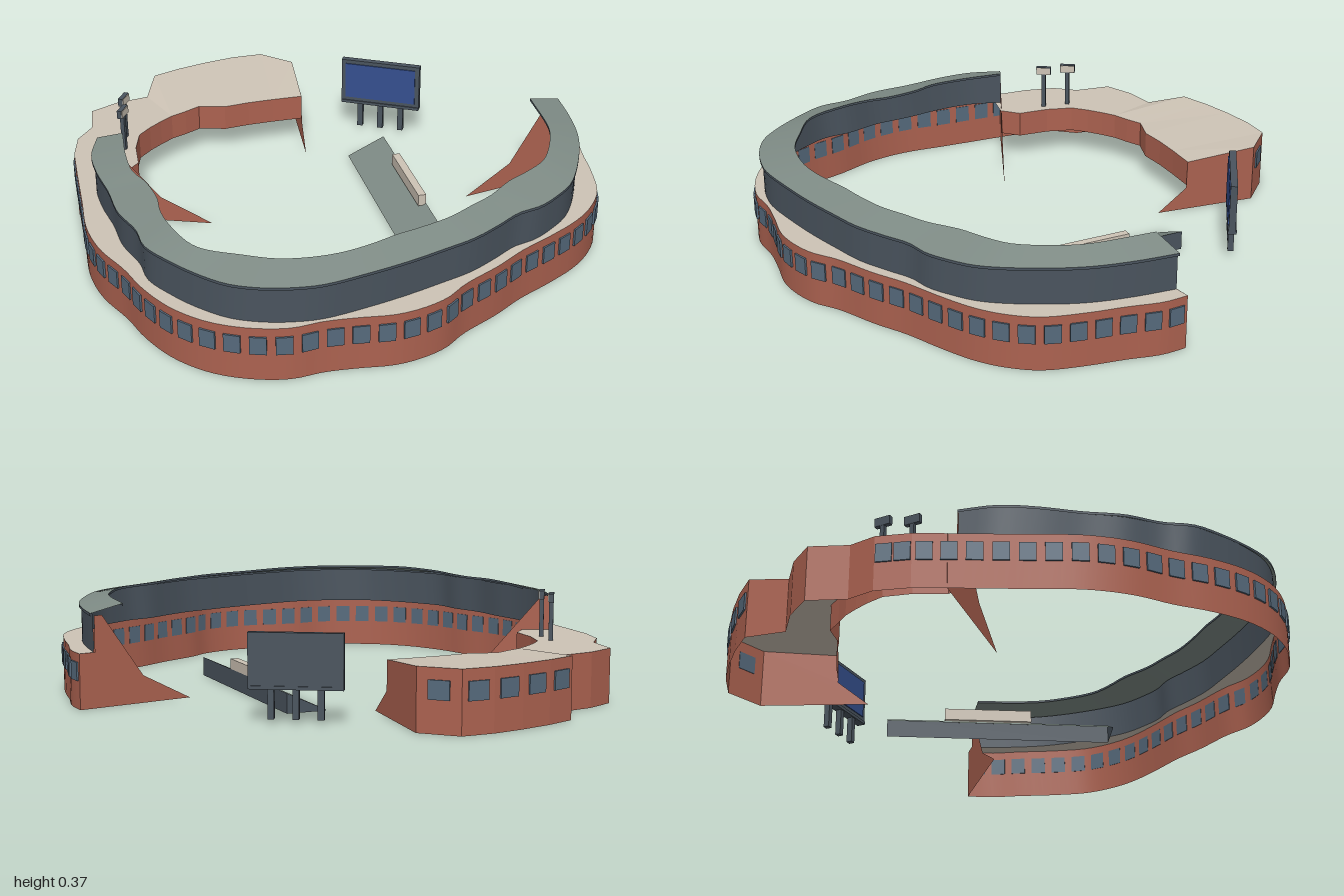
import * as THREE from 'three';

const mat = (name, color) => {
  const m = new THREE.MeshStandardMaterial({ color, side: THREE.DoubleSide });
  m.name = name;
  return m;
};

export function createModel() {
  const brick = mat('brick', 0xac6250);
  const stone = mat('stone', 0xcdc3b5);
  const roofing = mat('roofing', 0x7f8c86);
  const slate = mat('slate', 0x4a545e);
  const glass = mat('glass', 0x566a7c);
  const screenBlue = mat('screen blue', 0x35508f);

  const model = new THREE.Group();
  model.name = 'stadium';

  const add = (name, geo, material, parent = model) => {
    const mesh = new THREE.Mesh(geo, material);
    mesh.name = name;
    parent.add(mesh);
    return mesh;
  };
  const box = (name, size, pos, material, parent) => {
    const mesh = add(name, new THREE.BoxGeometry(...size), material, parent);
    mesh.position.set(...pos);
    return mesh;
  };
  // Ribbon between two rows of points
  const strip = (a, b, faceted = false) => {
    const pos = [], idx = [];
    a.forEach((p, i) => {
      pos.push(p.x, p.y, p.z, b[i].x, b[i].y, b[i].z);
      if (i) {
        const k = 2 * i;
        idx.push(k - 2, k, k - 1, k, k + 1, k - 1);
      }
    });
    let g = new THREE.BufferGeometry();
    g.setAttribute('position', new THREE.Float32BufferAttribute(pos, 3));
    g.setIndex(idx);
    if (faceted) g = g.toNonIndexed();
    g.computeVertexNormals();
    return g;
  };
  const points = (xz) => xz.map(([x, z]) => new THREE.Vector3(x, 0, z));
  const atY = (row, y) => row.map((p) => new THREE.Vector3(p.x, y, p.z));
  const curveOf = (xz) => new THREE.CatmullRomCurve3(points(xz), false, 'centripetal');
  const N = 96;

  // Plan outlines of the bowl, from the right end around the front to the left end
  const outerCurve = curveOf([
    [.95, -.07], [.955, .02], [.93, .15], [.91, .28], [.87, .43], [.8, .53], [.72, .6], [.6, .67],
    [.46, .74], [.35, .81], [.2, .89], [.12, .95], [.03, .985], [-.07, 1], [-.2, .985], [-.31, .977],
    [-.42, .985], [-.55, .95], [-.67, .88], [-.77, .77], [-.84, .63], [-.88, .5], [-.94, .35],
    [-.965, .2], [-.955, 0], [-.945, -.2]]);
  const outer = outerCurve.getSpacedPoints(N);
  const roofOuter = curveOf([
    [.905, -.06], [.89, .1], [.86, .25], [.8, .4], [.7, .57], [.62, .64], [.54, .69], [.45, .715],
    [.36, .77], [.25, .83], [.13, .87], [0, .91], [-.15, .945], [-.31, .972], [-.4, .965],
    [-.5, .94], [-.6, .89], [-.68, .81], [-.76, .7], [-.82, .59], [-.83, .48], [-.87, .35],
    [-.88, .2], [-.9, .05], [-.9, -.08], [-.86, -.21]]).getSpacedPoints(N);
  const roofInner = curveOf([
    [.78, -.04], [.76, .2], [.73, .29], [.65, .43], [.57, .49], [.48, .54], [.38, .62], [.29, .67],
    [.2, .72], [.08, .76], [0, .78], [-.1, .815], [-.2, .84], [-.3, .845], [-.42, .825], [-.53, .77],
    [-.66, .685], [-.72, .53], [-.735, .42], [-.73, .34], [-.75, .21], [-.78, .13], [-.785, 0],
    [-.77, -.17]]).getSpacedPoints(N);
  const upper = roofOuter.map((p, i) => p.clone().lerp(roofInner[i], .08));

  // Bowl: brick wall, walkway ledge, upper wall and sloping roof
  add('outerWall', strip(atY(outer, 0), atY(outer, .2)), brick);
  add('walkway', strip(atY(outer, .2), atY(upper, .2)), stone);
  add('upperWall', strip(atY(upper, .2), atY(upper, .334)), slate);
  add('roof', strip(atY(roofOuter, .338), atY(roofInner, .365)), roofing);
  add('roofOuterEdge', strip(atY(roofOuter, .328), atY(roofOuter, .338)), slate);
  add('roofInnerEdge', strip(atY(roofInner, .356), atY(roofInner, .365)), slate);

  // Low building that closes the back
  const backOuter = points([
    [-.945, -.2], [-.935, -.36], [-.905, -.48], [-.84, -.56], [-.82, -.7], [-.71, -.75], [-.585, -.77],
    [-.53, -.91], [-.42, -.95], [-.3, -.98], [-.18, -1], [-.06, -1], [.05, -.89]]);
  const backInner = points([
    [-.77, -.17], [-.71, -.23], [-.7, -.35], [-.67, -.45], [-.62, -.5], [-.57, -.54], [-.52, -.575],
    [-.46, -.6], [-.4, -.63], [-.3, -.6], [-.2, -.61], [-.1, -.612], [.02, -.61]]);
  const backTop = backOuter.map((p, i) => new THREE.Vector3(p.x, i < 7 ? .2 : .222, p.z));
  add('backWall', strip(backOuter, backTop, true), brick);
  add('backTerrace', strip(backTop, atY(backInner, .2), true), stone);
  add('backInnerWall', strip(atY(backInner, .1), atY(backInner, .2), true), brick);

  // End walls: profile of distance inward and height, from a start point towards a target
  const endWall = (name, [x, z], [tx, tz], profile) => {
    const shape = new THREE.Shape(profile.map(([s, y]) => new THREE.Vector2(s, y)));
    const mesh = add(name, new THREE.ShapeGeometry(shape), brick);
    mesh.position.set(x, 0, z);
    mesh.rotation.y = Math.atan2(-(tz - z), tx - x);
  };
  endWall('leftEndWall', [.95, -.07], [.52, .01],
    [[0, 0], [0, .2], [.06, .2], [.06, .33], [.09, .33], [.25, .1], [.44, 0]]);
  endWall('rightEndWall', [-.945, -.245], [-.47, -.05],
    [[0, 0], [0, .2], [.09, .2], [.09, .33], [.12, .33], [.32, .1], [.513, 0]]);
  endWall('backEndWall', [.05, -.89], [.02, -.61],
    [[0, 0], [0, .222], [.282, .2], [.285, .09], [.4, 0]]);

  // Windows around the outer wall
  const windows = new THREE.Group();
  windows.name = 'windows';
  model.add(windows);
  const addWindow = (p, t, width, y) => {
    const n = new THREE.Vector3(t.z, 0, -t.x).normalize();
    const w = box('window', [width, .066, .008], [p.x + n.x * .002, y, p.z + n.z * .002], glass, windows);
    w.rotation.y = Math.atan2(n.x, n.z);
  };
  const count = Math.round(outerCurve.getLength() / .085);
  for (let i = 0; i < count; i++) {
    const u = (i + .5) / count;
    addWindow(outerCurve.getPointAt(u), outerCurve.getTangentAt(u), .057, .135);
  }
  backOuter.forEach((p, i) => {
    if (i === 0 || (i > 2 && i < 8)) return;
    const q = backOuter[i - 1], t = p.clone().sub(q);
    if (i > 2) addWindow(q.clone().lerp(p, .5), t, .075, .148);
    else for (const f of [.25, .75]) addWindow(q.clone().lerp(p, f), t, .055, .135);
  });

  // Scoreboard on three posts, screen towards the field
  const board = new THREE.Group();
  board.name = 'scoreboard';
  board.position.set(.355, 0, -.605);
  board.rotation.y = Math.atan2(-.17, .29);
  model.add(board);
  box('boardPanel', [.325, .185, .026], [0, .22, 0], slate, board);
  box('boardLedge', [.325, .012, .034], [0, .126, 0], slate, board);
  box('screen', [.29, .15, .006], [0, .222, .014], screenBlue, board);
  for (const x of [-.085, 0, .085]) box('boardPost', [.022, .11, .022], [x, .073, 0], slate, board);

  // Floodlights on the terrace
  for (const [x, z] of [[-.722, -.455], [-.742, -.355]]) {
    const lamp = new THREE.Group();
    lamp.name = 'floodlight';
    lamp.position.set(x, .2, z);
    lamp.rotation.y = 1.0;
    model.add(lamp);
    box('lampPost', [.016, .15, .016], [0, .075, 0], slate, lamp);
    box('lampHead', [.06, .032, .018], [0, .158, 0], slate, lamp);
    box('lampFace', [.056, .028, .004], [0, .158, .01], stone, lamp);
  }

  // Sloping side stand, open beneath, with a press box on its high edge
  const corner = (x, y, z) => new THREE.Vector3(x, y, z);
  const [x0, x1, z0, z1, h] = [.165, .312, -.42, .44, .072];
  add('standSlope', strip([corner(x0, .004, z0), corner(x0, .004, z1)], [corner(x1, h, z0), corner(x1, h, z1)]), roofing);
  add('standBack', strip([corner(x1, 0, z0), corner(x1, 0, z1)], [corner(x1, h, z0), corner(x1, h, z1)]), slate);
  for (const z of [z0, z1]) {
    const side = new THREE.Shape([[x0, 0], [x1, 0], [x1, h], [x0, .004]].map((p) => new THREE.Vector2(...p)));
    add('standEnd', new THREE.ShapeGeometry(side), slate).position.z = z;
  }
  box('pressBox', [.03, .045, .335], [.296, .088, -.03], stone);

  return model;
}
